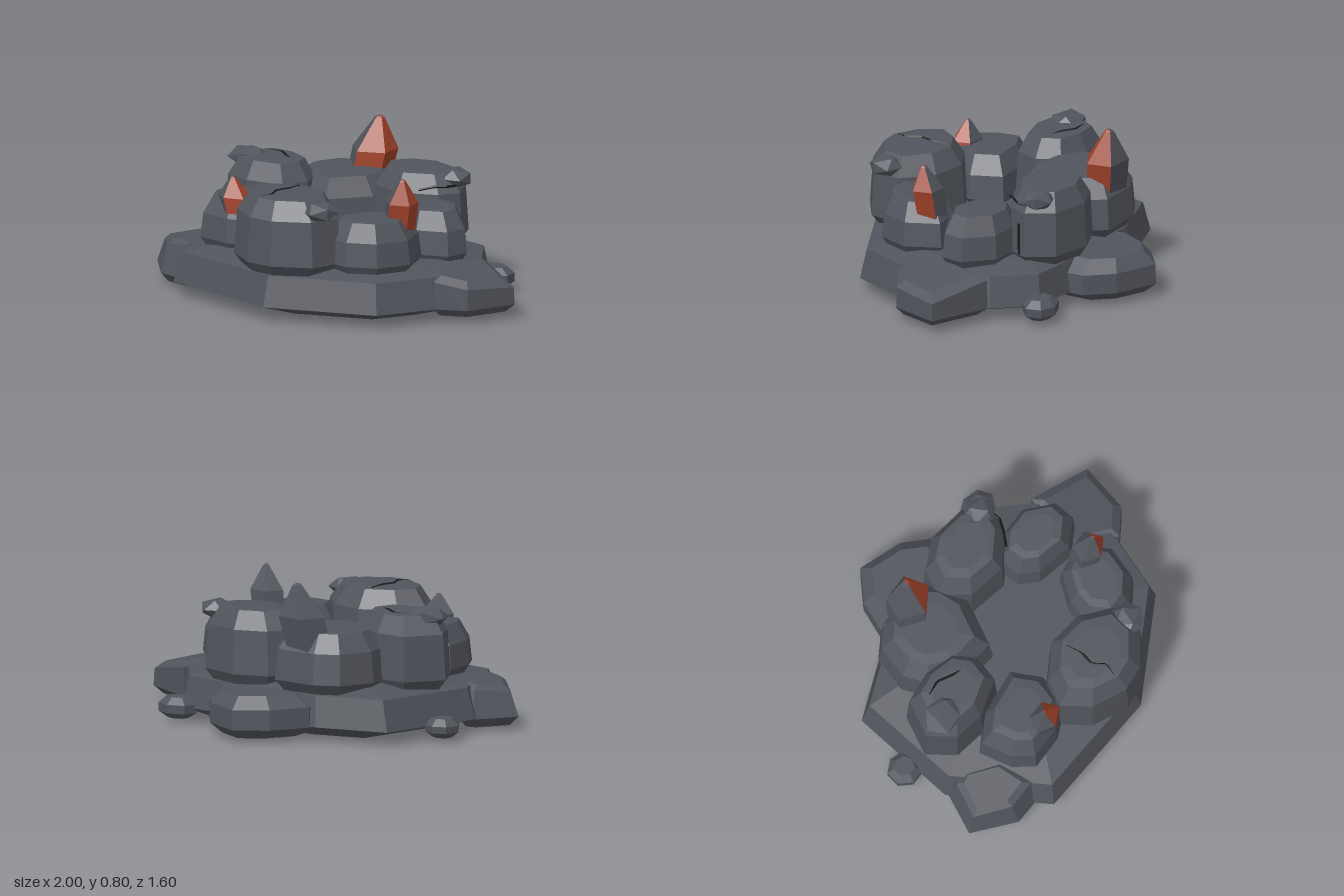
import * as THREE from 'three';

const mat = (color) => new THREE.MeshStandardMaterial({ color, flatShading: true });

// Stacks scaled copies of a closed x/z outline (running from +x towards +z) and caps both ends.
// levels: [y, scale, shiftX, shiftZ]; sides from..to are built, so a stone can be split by colour.
function loft(outline, levels, from = 0, to = outline.length) {
  const n = outline.length;
  const cx = outline.reduce((s, p) => s + p[0], 0) / n;
  const cz = outline.reduce((s, p) => s + p[1], 0) / n;
  const at = (l, j) => {
    const [y, s, dx = 0, dz = 0] = levels[l];
    const [x, z] = outline[j % n];
    return [cx + (x - cx) * s + dx, y, cz + (z - cz) * s + dz];
  };
  const mid = (l) => [cx + (levels[l][2] || 0), levels[l][0], cz + (levels[l][3] || 0)];
  const last = levels.length - 1;
  const v = [];
  for (let j = from; j < to; j++) {
    for (let l = 0; l < last; l++) {
      const p = at(l, j), q = at(l + 1, j), qn = at(l + 1, j + 1), pn = at(l, j + 1);
      v.push(...p, ...q, ...qn, ...p, ...qn, ...pn);
    }
    v.push(...mid(0), ...at(0, j), ...at(0, j + 1));
    v.push(...mid(last), ...at(last, j + 1), ...at(last, j));
  }
  const g = new THREE.BufferGeometry();
  g.setAttribute('position', new THREE.Float32BufferAttribute(v, 3));
  g.computeVertexNormals();
  return g;
}

// Lowers the upper vertices the further they lie from the middle in x
function slopeOutward(g, slope) {
  const p = g.attributes.position;
  for (let i = 0; i < p.count; i++)
    if (p.getY(i) > 0.12) p.setY(i, p.getY(i) - slope * (Math.abs(p.getX(i)) - 0.72));
  g.computeVertexNormals();
  return g;
}

// Slightly irregular ellipse outline, turned by rot
function oval(x, z, rx, rz, n, rot) {
  return Array.from({ length: n }, (_, j) => {
    const a = rot + (j / n) * Math.PI * 2;
    const k = 1.01 + 0.03 * Math.sin(j * 2.7 + x * 9 + z * 5);
    return [x + Math.cos(a) * rx * k, z + Math.sin(a) * rz * k];
  });
}

export function createModel() {
  const group = new THREE.Group();
  const stone = mat(0x51545c), ember = mat(0xa0422a), dark = mat(0x17181b);
  const add = (name, geometry, material = stone) => {
    const m = new THREE.Mesh(geometry, material);
    m.name = name;
    group.add(m);
    return m;
  };

  // Broad ground slab
  add('baseSlab', loft(
    [[0.82, 0.05], [0.75, 0.28], [0.6, 0.57], [0.04, 0.8], [-0.65, 0.68], [-0.88, 0.17],
      [-0.74, -0.4], [-0.36, -0.5], [0.1, -0.5], [0.53, -0.44], [0.69, -0.23]],
    [[0, 0.7], [0.075, 1], [0.235, 0.95], [0.275, 0.72]]));

  // Slabs leaning out of the rim
  add('sideSlabLeft', slopeOutward(loft(
    [[1, -0.06], [0.9, 0.2], [0.74, 0.28], [0.55, 0.1], [0.69, -0.22]],
    [[0.035, 0.8], [0.075, 1], [0.22, 0.98], [0.25, 0.75]]), 0.2));
  add('sideSlabRight', slopeOutward(loft(
    [[-0.62, 0.6], [-0.82, 0.57], [-1, 0.38], [-0.86, 0.17], [-0.78, 0.17], [-0.6, 0.36]],
    [[0.02, 0.75], [0.07, 1], [0.23, 0.78], [0.255, 0.6]]), 0.15));
  add('backSlab', loft(
    [[0.27, -0.36], [-0.3, -0.36], [-0.32, -0.5], [-0.21, -0.69], [-0.05, -0.8], [0.17, -0.69], [0.28, -0.55]],
    [[0.02, 0.74], [0.07, 1], [0.175, 0.99], [0.24, 0.72]]));

  // Loose pebbles beside the slab
  for (const [x, z, rx, rz, h] of [[0.55, -0.45, 0.11, 0.09, 0.13], [-0.86, -0.08, 0.09, 0.09, 0.12]])
    add('pebble', loft(oval(x, z, rx, rz, 7, 0.3), [[0.02, 0.55], [0.05, 0.98], [h - 0.035, 1], [h, 0.6]]));

  // Ring of boulders: name, top, widest outline
  const boulders = [
    ['frontBoulder', 0.63, [[-0.23, 0.39], [-0.03, 0.3], [0.17, 0.35], [0.32, 0.51], [0.27, 0.68],
      [0.08, 0.79], [-0.07, 0.79], [-0.25, 0.68], [-0.33, 0.52]]],
    ['rightBoulder', 0.63, [[-0.81, 0.01], [-0.68, -0.17], [-0.5, -0.17], [-0.33, -0.1], [-0.28, 0.03],
      [-0.34, 0.17], [-0.56, 0.21], [-0.73, 0.16]]],
    ['backRightBoulder', 0.555, [[-0.56, -0.27], [-0.48, -0.45], [-0.35, -0.51], [-0.1, -0.5], [0, -0.35],
      [-0.01, -0.17], [-0.17, 0.05], [-0.4, 0], [-0.53, -0.13]]],
    ['backLeftBoulder', 0.625, [[-0.11, -0.32], [-0.02, -0.45], [0.16, -0.51], [0.38, -0.45], [0.46, -0.3],
      [0.4, -0.19], [0.19, -0.09], [-0.02, -0.16]]],
    ['leftBoulder', 0.52, [[0.23, -0.03], [0.25, -0.16], [0.38, -0.22], [0.56, -0.2], [0.685, -0.06],
      [0.66, 0.06], [0.5, 0.13], [0.3, 0.06]]],
    ['frontLeftBoulder', 0.52, [[0.18, 0.4], [0.23, 0.27], [0.36, 0.14], [0.54, 0.13], [0.61, 0.31],
      [0.53, 0.48], [0.38, 0.555], [0.24, 0.54]]],
    ['frontRightBoulder', 0.52, [[-0.665, 0.25], [-0.5, 0.18], [-0.23, 0.18], [-0.17, 0.35], [-0.24, 0.51],
      [-0.4, 0.56], [-0.585, 0.54], [-0.65, 0.43]]],
  ];
  for (const [name, top, outline] of boulders)
    add(name, loft(outline, [[0.24, 0.84], [0.295, 1], [top - 0.1, 0.94], [top - 0.005, 0.7], [top, 0.5]]));

  // Leaning spikes with a glowing inner side: x, z, radiusX, radiusZ, base, shoulder, tip, lean
  const spikes = [
    [-0.22, -0.42, 0.13, 0.11, 0.45, 0.63, 0.8, 0.015, -0.025],
    [0.495, 0.235, 0.09, 0.085, 0.42, 0.59, 0.715, 0.015, 0.012],
    [-0.405, 0.485, 0.095, 0.075, 0.45, 0.53, 0.63, -0.01, 0],
  ];
  for (const [x, z, rx, rz, y0, y1, y2, dx, dz] of spikes) {
    const ring = oval(x, z, rx, rz, 5, -Math.PI / 4);
    const levels = [[y0, 0.95, -2 * dx, -dz], [y1, 1], [y2 - 0.01, 0.22, dx, dz], [y2, 0.12, dx, dz]];
    add('spikeGlow', loft(ring, levels, 0, 2), ember);
    add('spikeShell', loft(ring, levels, 2, 5));
  }

  // Angular chips lying on the boulders
  const chips = [[-0.675, 0.04, 0.12, 0.055, 0.1, 0.61], [0.255, 0.6, 0.1, 0.055, 0.095, 0.575],
    [0.38, -0.345, 0.095, 0.055, 0.09, 0.59]];
  chips.forEach(([x, z, rx, ry, rz, y], i) => {
    const g = new THREE.IcosahedronGeometry(1, 0).rotateY(i * 0.8 + 0.3).scale(rx, ry, rz);
    add('chip', g).position.set(x, y, z);
  });

  // Thin jagged cracks: x, y, z points
  const cracks = [
    [[-0.04, 0.625, 0.41], [-0.04, 0.63, 0.5], [-0.065, 0.63, 0.57], [-0.03, 0.63, 0.64], [-0.06, 0.622, 0.7]],
    [[-0.62, 0.625, -0.07], [-0.54, 0.63, -0.07], [-0.47, 0.63, -0.02], [-0.41, 0.622, 0.01]],
    [[0.3, 0.55, -0.14], [0.36, 0.565, -0.19], [0.41, 0.565, -0.24], [0.42, 0.56, -0.3]],
    [[0.43, 0.46, -0.26], [0.44, 0.38, -0.265], [0.445, 0.3, -0.27]],
  ];
  for (const points of cracks) {
    const path = new THREE.CurvePath();
    const pts = points.map((p) => new THREE.Vector3(...p));
    for (let i = 1; i < pts.length; i++) path.add(new THREE.LineCurve3(pts[i - 1], pts[i]));
    add('crack', new THREE.TubeGeometry(path, 16, 0.007, 4), dark);
  }
  return group;
}
